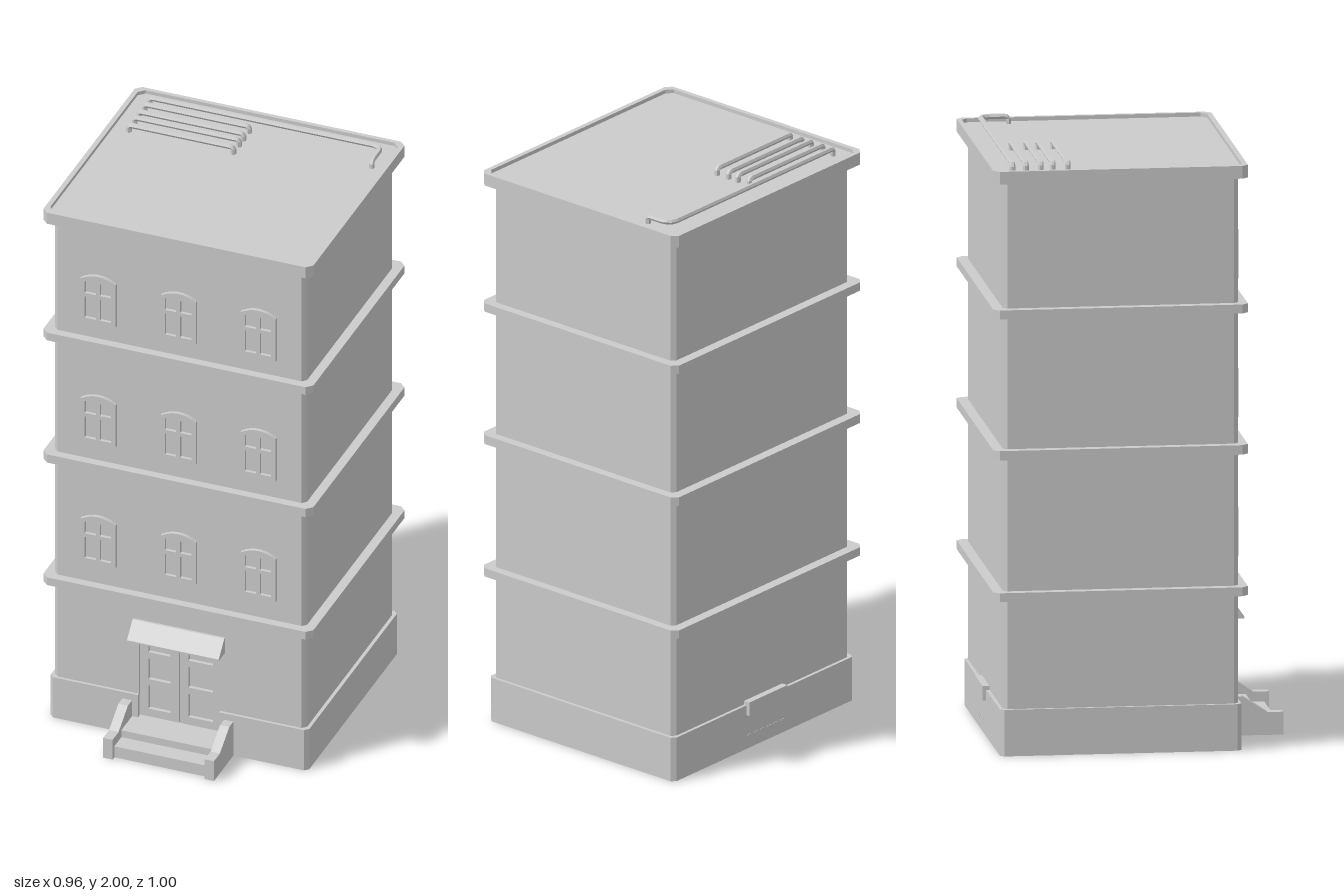
import * as THREE from 'three';

const grey = new THREE.MeshStandardMaterial({ color: 0xcccccc, flatShading: true });
const thin = new THREE.MeshStandardMaterial({ color: 0xcccccc, flatShading: true, side: THREE.DoubleSide });

export function createModel() {
  const model = new THREE.Group();
  const add = (name, geometry, parent = model, material = grey) => {
    const mesh = new THREE.Mesh(geometry, material);
    mesh.name = name;
    parent.add(mesh);
    return mesh;
  };
  const group = (name) => {
    const g = new THREE.Group();
    g.name = name;
    model.add(g);
    return g;
  };
  // box from its low and high corners
  const box = (x0, x1, y0, y1, z0, z1) =>
    new THREE.BoxGeometry(x1 - x0, y1 - y0, z1 - z0).translate((x0 + x1) / 2, (y0 + y1) / 2, (z0 + z1) / 2);
  const shapeOf = (pts) => new THREE.Shape(pts.map(([a, b]) => new THREE.Vector2(a, b)));
  const extrude = (shape, depth) =>
    new THREE.ExtrudeGeometry(shape, { depth, bevelEnabled: false, curveSegments: 8 });
  const rect = (x0, x1, y0, y1) => shapeOf([[x0, y0], [x1, y0], [x1, y1], [x0, y1]]);

  // plan outline with chamfered corners, from the middle of the front round to the middle
  const plan = (x, z0, z1, c) => [
    [x - c, z1], [x, z1 - c], [x, z0 + c], [x - c, z0],
    [-x + c, z0], [-x, z0 + c], [-x, z1 - c], [-x + c, z1],
  ].map(([px, pz]) => [px, -pz]);
  const upright = (shape, y0, y1) => extrude(shape, y1 - y0).rotateX(-Math.PI / 2).translate(0, y0, 0);
  const slab = (x, z0, z1, c, y0, y1) => upright(shapeOf(plan(x, z0, z1, c)), y0, y1);

  // hollow wall with a gap for the door in its front
  const GAP = 0.145;
  const openWall = (x, z0, z1, c, t, y0, y1) => {
    const outer = [[GAP, -z1], ...plan(x, z0, z1, c), [-GAP, -z1]];
    const inner = [[GAP, -z1 + t], ...plan(x - t, z0 + t, z1 - t, c), [-GAP, -z1 + t]];
    return upright(shapeOf([...outer, ...inner.reverse()]), y0, y1);
  };

  // ground floor, open underneath
  add('plinth', openWall(0.462, -0.478, 0.33, 0.014, 0.014, 0, 0.157));
  add('groundFloorWall', openWall(0.45, -0.467, 0.32, 0.014, 0.012, 0.15, 0.53));
  add('doorLintel', box(-GAP, GAP, 0.4, 0.53, 0.308, 0.32));
  add('doorSill', box(-GAP, GAP, 0, 0.07, 0.29, 0.33));

  // upper floors and the bands between them
  add('upperFloors', slab(0.45, -0.467, 0.32, 0.014, 0.54, 1.95));
  [[0.525, 0.555], [1.003, 1.035], [1.48, 1.51]].forEach(([a, b]) =>
    add('floorBand', slab(0.482, -0.502, 0.35, 0.02, a, b)));

  // roof slab with a low rim
  add('roofSlab', slab(0.482, -0.502, 0.35, 0.02, 1.935, 1.965));
  const rim = shapeOf(plan(0.482, -0.502, 0.35, 0.02));
  rim.holes.push(shapeOf(plan(0.465, -0.487, 0.333, 0.02)));
  add('roofRim', upright(rim, 1.965, 1.978));

  // windows: arched frame with four recessed panes
  const arched = (w, y0, y1, rise) => {
    const s = new THREE.Shape();
    s.moveTo(-w, y0);
    s.lineTo(w, y0);
    s.lineTo(w, y1);
    s.quadraticCurveTo(0, y1 + 2 * rise, -w, y1);
    return s;
  };
  const frame = arched(0.063, 0, 0.165, 0.02);
  for (const s of [-1, 1]) {
    const [a, b] = s < 0 ? [-0.047, -0.007] : [0.007, 0.047];
    frame.holes.push(rect(a, b, 0.016, 0.098), rect(a, b, 0.112, 0.158));
  }
  const frameGeo = extrude(frame, 0.014);
  const paneGeo = extrude(arched(0.058, 0.004, 0.162, 0.018), 0.003);
  for (const y of [0.635, 1.105, 1.573]) {
    for (const x of [-0.287, 0, 0.285]) {
      const win = group('window');
      add('windowFrame', frameGeo, win);
      add('windowPanes', paneGeo, win);
      win.position.set(x, y, 0.319);
    }
  }

  // double door, set back, with three sunk panels in each leaf
  const door = group('door');
  add('doorBack', box(-GAP, GAP, 0.07, 0.4, 0.29, 0.297), door);
  for (const s of [-1, 1]) {
    const [a, b] = s < 0 ? [-GAP, -0.006] : [-0.002, GAP];
    const leaf = rect(a, b, 0.07, 0.4);
    for (const [y0, y1] of [[0.1, 0.19], [0.215, 0.295], [0.32, 0.375]])
      leaf.holes.push(rect(a + 0.03, b - 0.03, y0, y1));
    add('doorLeaf', extrude(leaf, 0.013).translate(0, 0, 0.297), door);
  }

  // extrusion of a (z, y) profile across x
  const across = (pts, x0, x1) =>
    extrude(shapeOf(pts), x1 - x0).rotateY(-Math.PI / 2).translate(x1, 0, 0);

  // sloping canopy over the door
  add('doorCanopy', across([[0.318, 0.388], [0.378, 0.388], [0.378, 0.394], [0.328, 0.447], [0.318, 0.447]], -0.165, 0.163));

  // entrance steps, hollow beneath, between two side walls
  add('entranceSteps', across([
    [0.487, 0], [0.487, 0.043], [0.425, 0.043], [0.425, 0.07], [0.318, 0.07],
    [0.318, 0.06], [0.415, 0.06], [0.415, 0.033], [0.477, 0.033], [0.477, 0],
  ], -0.168, 0.165), model, thin);
  const cheek = [[0.32, 0], [0.503, 0], [0.503, 0.077], [0.45, 0.077], [0.366, 0.132], [0.32, 0.132]];
  add('stepSideWall', across(cheek, -0.2, -0.166));
  add('stepSideWall', across(cheek, 0.163, 0.196));

  // vent box and slots at the back
  add('backVentBox', box(-0.105, 0.09, 0.122, 0.17, -0.49, -0.46));
  for (let i = 0; i < 6; i++) {
    const x = -0.1 + i * 0.033;
    add('backVentSlot', box(x, x + 0.02, 0.045, 0.05, -0.48, -0.47));
  }

  // roof pipes, bent down into the roof at their ends
  const pipe = (pts) => {
    const path = new THREE.CurvePath();
    const v = pts.map((p) => new THREE.Vector3(...p));
    for (let i = 1; i < v.length; i++) path.add(new THREE.LineCurve3(v[i - 1], v[i]));
    return new THREE.TubeGeometry(path, 90, 0.0095, 6, false);
  };
  const LOW = 1.96, MID = 1.984, TOP = 1.9905;
  for (const z of [-0.385, -0.335, -0.295, -0.245]) {
    add('roofPipe', pipe([
      [-0.407, LOW, z], [-0.407, MID, z], [-0.4, TOP, z],
      [-0.042, TOP, z], [-0.034, MID, z], [-0.034, LOW, z],
    ]), model, thin);
  }
  add('longRoofPipe', pipe([
    [-0.407, LOW, -0.43], [-0.407, MID, -0.43], [-0.4, TOP, -0.43], [0.395, TOP, -0.43],
    [0.415, TOP, -0.422], [0.425, TOP, -0.4], [0.425, TOP, -0.342], [0.425, MID, -0.334], [0.425, LOW, -0.334],
  ]), model, thin);

  return model;
}
